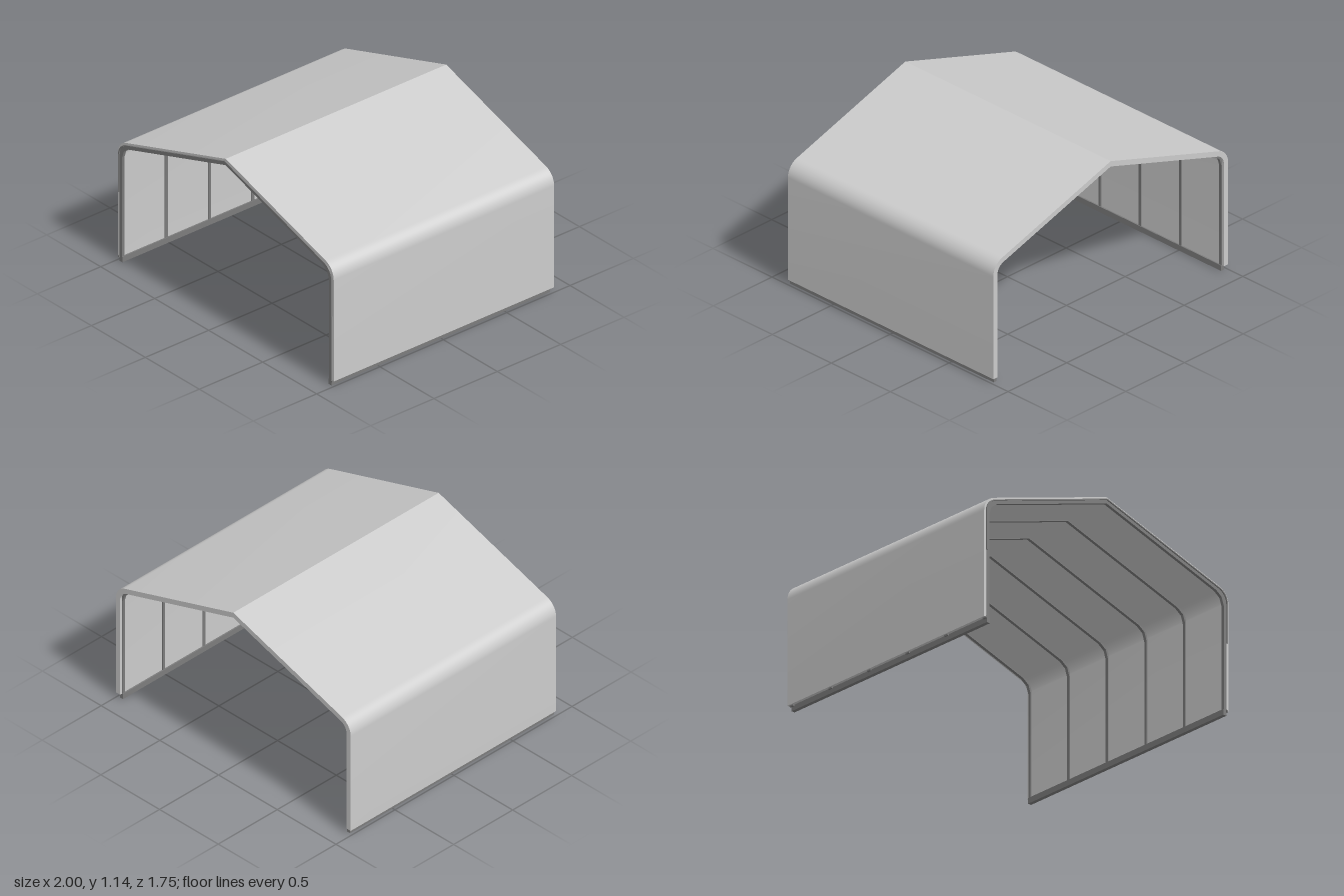
import * as THREE from 'three';
import { toCreasedNormals } from 'three/addons/utils/BufferGeometryUtils.js';

const SLOPE = 0.322, RIDGE = 1.14, PITCH = Math.atan(SLOPE);
const light = new THREE.MeshStandardMaterial({ color: 0xcccccc });
const dark = new THREE.MeshStandardMaterial({ color: 0x7c7c7c });

// Portal outline lying d inside the outer face, with rounded eaves of radius r
function outline(d, r, segments, bottom) {
  const wall = 1 - d, ridge = RIDGE - d / Math.cos(PITCH);
  const corner = ridge - SLOPE * wall;
  const sweep = Math.PI / 2 - PITCH;
  const cy = corner - r * Math.tan(sweep / 2);
  const half = [[wall, bottom]];
  for (let i = 0; i <= segments; i++) {
    const a = sweep * i / segments;
    half.push([wall - r + r * Math.cos(a), cy + r * Math.sin(a)]);
  }
  const mirrored = half.map(([x, y]) => [-x, y]).reverse();
  return [...half, [0, ridge], ...mirrored].map(([x, y]) => new THREE.Vector2(x, y));
}

// Band between two outlines, extruded from z0 to z1
function portal(name, outer, inner, z0, z1, material) {
  const shape = new THREE.Shape([...outer, ...inner.reverse()]);
  const geo = new THREE.ExtrudeGeometry(shape, { depth: z1 - z0, bevelEnabled: false });
  geo.translate(0, 0, z0);
  const mesh = new THREE.Mesh(toCreasedNormals(geo, 0.45), material);
  mesh.name = name;
  return mesh;
}

function box(name, w, h, d, x, y, z, material) {
  const mesh = new THREE.Mesh(new THREE.BoxGeometry(w, h, d), material);
  mesh.position.set(x, y, z);
  mesh.name = name;
  return mesh;
}

export function createModel() {
  const group = new THREE.Group();
  group.name = 'shelter';

  // Continuous wall and roof cover
  group.add(portal('cover', outline(0, 0.11, 12, 0.035), outline(0.035, 0.075, 12, 0.035),
    -0.875, 0.865, light));

  // Evenly spaced portal frames, slightly proud of the inner face
  const count = 6, first = 0.857, last = -0.85;
  for (let i = 0; i < count; i++) {
    const z = first + (last - first) * i / (count - 1);
    group.add(portal('frame' + (i + 1), outline(0.02, 0.09, 4, 0.02), outline(0.041, 0.09, 2, 0.02),
      z - 0.01, z + 0.01, dark));
    // Small feet beside the ground rails
    for (const s of [-1, 1]) {
      group.add(box('frameFoot', 0.012, 0.012, 0.03, s * 0.985, 0.032, z, dark));
    }
  }

  // Thin trim along the upper part of the front edge
  group.add(portal('frontTrim', outline(0.013, 0.097, 8, 0.48), outline(0.02, 0.09, 8, 0.48),
    0.864, 0.875, dark));

  // Ground rails
  for (const s of [-1, 1]) {
    group.add(box(s > 0 ? 'leftRail' : 'rightRail', 0.025, 0.038, 1.727, s * 0.968, 0.019, 0.0035, dark));
  }
  return group;
}
